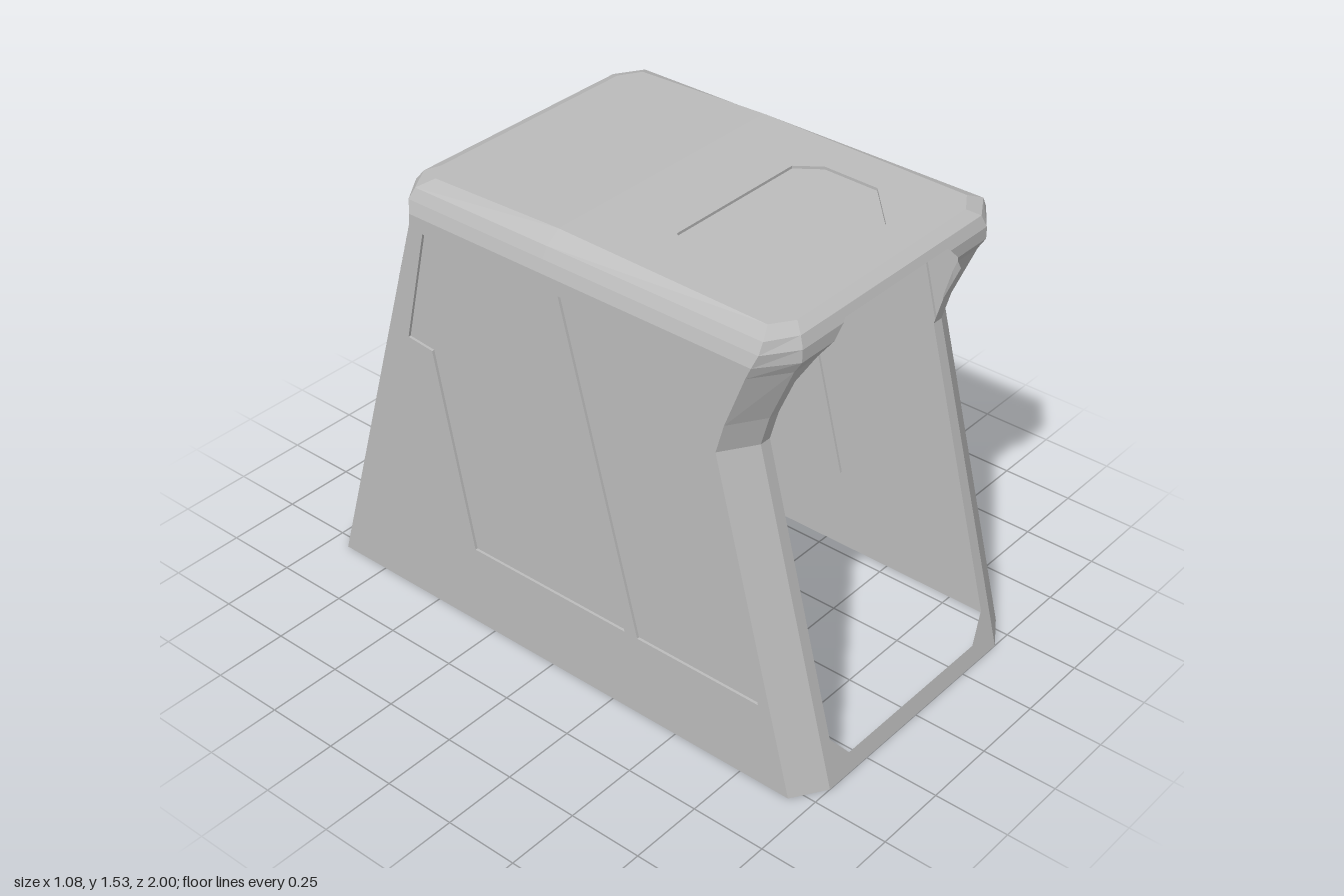
import * as THREE from 'three';

const gray = new THREE.MeshStandardMaterial({ color: 0xbbbbbb, side: THREE.DoubleSide });
gray.name = 'cabin gray';

// Flat-shaded mesh from quads of corner vectors
function quadMesh(name, quads) {
  const p = [];
  for (const [a, b, c, d] of quads) for (const v of [a, b, c, a, c, d]) p.push(...v);
  const g = new THREE.BufferGeometry();
  g.setAttribute('position', new THREE.Float32BufferAttribute(p, 3));
  g.computeVertexNormals();
  const m = new THREE.Mesh(g, gray);
  m.name = name;
  return m;
}

const toV2 = pts => pts.map(([u, v]) => new THREE.Vector2(u, v));

// Flat face from a 2D outline, placed in space by map(u, v)
function faceMesh(name, outline, holes, map) {
  const shape = new THREE.Shape(toV2(outline));
  for (const h of holes) shape.holes.push(new THREE.Path(toV2(h)));
  const g = new THREE.ShapeGeometry(shape).toNonIndexed();
  const pos = g.attributes.position;
  for (let i = 0; i < pos.count; i++) pos.setXYZ(i, ...map(pos.getX(i), pos.getY(i)));
  g.computeVertexNormals();
  const m = new THREE.Mesh(g, gray);
  m.name = name;
  return m;
}

// Wall with shallow recessed panes; inward is the recess direction
function recessedWall(name, outline, panes, map, inward) {
  const group = new THREE.Group();
  group.name = name;
  const deep = (u, v) => map(u, v).map((c, i) => c + inward[i] * 0.009);
  group.add(faceMesh(name + 'Skin', outline, panes, map));
  for (const pane of panes) {
    group.add(faceMesh(name + 'Pane', pane, [], deep));
    group.add(quadMesh(name + 'Rim', pane.map((a, i) => {
      const b = pane[(i + 1) % pane.length];
      return [map(...a), map(...b), deep(...b), deep(...a)];
    })));
  }
  return group;
}

// Horizontal sections: y, half width, front z, back z, corner x, front corner z, back corner z
const sections = [
  [0, 0.54, 1, -1, 0.11, 0.07, 0.07],
  [1.1, 0.54, 0.71, -0.677, 0.11, 0.07, 0.07],
  [1.2, 0.54, 0.738, -0.648, 0.11, 0.07, 0.07],
  [1.38, 0.54, 0.815, -0.595, 0.11, 0.078, 0.07],
  [1.42, 0.54, 0.84, -0.605, 0.11, 0.085, 0.085],
  [1.46, 0.528, 0.84, -0.602, 0.1, 0.07, 0.07],
  [1.495, 0.51, 0.825, -0.575, 0.09, 0.055, 0.055],
  [1.515, 0.46, 0.79, -0.53, 0.07, 0.045, 0.045],
];
const LIP = 3, EAVE = 4, TOP = sections.length - 1;
const roofY = z => 1.53 - (z > 0 ? 0.019 : 0.028) * Math.abs(z);

// Half ring from front to back on side s
const ring = (i, s) => {
  const [y, hx, zf, zb, cx, cf, cb] = sections[i];
  return [[hx - cx, zf], [hx, zf - cf], [hx, 0], [hx, zb + cb], [hx - cx, zb]]
    .map(([x, z]) => [s * x, i === TOP ? roofY(z) : y, z]);
};
const frontZ = y => {
  let i = 0;
  while (i < TOP - 1 && y > sections[i + 1][0]) i++;
  const a = sections[i], b = sections[i + 1];
  return THREE.MathUtils.lerp(a[2], b[2], (y - a[0]) / (b[0] - a[0]));
};

export function createModel() {
  const cabin = new THREE.Group();
  cabin.name = 'cabin';

  // Bevelled corner posts and rounded roof edge
  for (const s of [1, -1]) {
    const posts = [], edge = [];
    for (let i = 0; i < TOP; i++) {
      const lo = ring(i, s), hi = ring(i + 1, s);
      for (let j = 0; j < 4; j++) {
        const q = [lo[j], lo[j + 1], hi[j + 1], hi[j]];
        if (s < 0) q.reverse();
        if (i >= EAVE) edge.push(q);
        else if (j === 0 || j === 3) posts.push(q);
      }
    }
    const side = s > 0 ? 'left' : 'right';
    cabin.add(quadMesh(side + 'CornerPosts', posts), quadMesh(side + 'RoofEdge', edge));
  }
  const rearLip = [], frontLip = [];
  for (let i = LIP; i < TOP; i++) {
    const L = ring(i, 1), R = ring(i, -1), L2 = ring(i + 1, 1), R2 = ring(i + 1, -1);
    rearLip.push([L[4], R[4], R2[4], L2[4]]);
    if (i === TOP - 1) frontLip.push([R[0], L[0], L2[0], R2[0]]);
  }
  cabin.add(quadMesh('rearRoofLip', rearLip), quadMesh('frontRoofLip', frontLip));

  // Front frame around the open doorway: height, opening half width
  const door = [[0.06, 0.32], [0.145, 0.39], [1.1, 0.39], [1.2, 0.39], [1.32, 0.39],
    [1.38, 0.33], [1.42, 0.29], [1.46, 0.25], [1.47, 0.24]];
  const outerX = y => {
    if (y <= 1.46) return 0.43;
    return THREE.MathUtils.lerp(0.428, 0.42, (y - 1.46) / 0.035);
  };
  const pt = (x, y) => [x, y, frontZ(y)];
  const frame = [[0, 0.06], [1.47, 1.495]].map(([a, b]) =>
    [pt(-outerX(a), a), pt(outerX(a), a), pt(outerX(b), b), pt(-outerX(b), b)]);
  for (let i = 0; i < door.length - 1; i++) {
    const [a, wa] = door[i], [b, wb] = door[i + 1];
    frame.push([pt(wa, a), pt(outerX(a), a), pt(outerX(b), b), pt(wb, b)]);
    frame.push([pt(-outerX(a), a), pt(-wa, a), pt(-wb, b), pt(-outerX(b), b)]);
  }
  cabin.add(quadMesh('frontFrame', frame));

  // Side walls with two panes each, points as z, y
  const sideOutline = [[0.93, 0], [0.64, 1.1], [0.668, 1.2], [0.737, 1.38], [0.755, 1.42],
    [-0.52, 1.42], [-0.525, 1.38], [-0.93, 0]];
  const sidePanes = [
    [[0.81, 0.29], [0.53, 1.37], [0.065, 1.37], [0.35, 0.29]],
    [[0.3, 0.29], [0.015, 1.37], [-0.47, 1.37], [-0.56, 0.98], [-0.46, 0.97], [-0.32, 0.29]],
  ];
  for (const s of [1, -1]) {
    const flip = pts => pts.map(([z, y]) => [-s * z, y]);
    cabin.add(recessedWall(s > 0 ? 'leftWall' : 'rightWall', flip(sideOutline),
      sidePanes.map(flip), (u, v) => [s * 0.54, v, -s * u], [-s, 0, 0]));
  }

  // Sloping rear wall with a window
  cabin.add(recessedWall('rearWall', [[-0.43, 0], [0.43, 0], [0.43, 1.38], [-0.43, 1.38]],
    [[[-0.32, 0.975], [0.32, 0.975], [0.39, 1.09], [0.39, 1.33], [0.36, 1.37],
      [-0.36, 1.37], [-0.39, 1.33], [-0.39, 1.09]]],
    (u, v) => [-u, v, -1 + (0.405 / 1.38) * v], [0, -0.28, 0.96]));

  // Crowned roof in two halves, hatch in the front half
  const hatch = [[-0.17, 0.67], [0.17, 0.67], [0.32, 0.53], [0.32, 0.34], [0.26, 0.265],
    [-0.26, 0.265], [-0.32, 0.34], [-0.32, 0.53]].map(([x, z]) => [x, -z]);
  const half = ids => [...ids.map(j => ring(TOP, 1)[j]), ...ids.map(j => ring(TOP, -1)[j]).reverse()]
    .map(([x, , z]) => [x, -z]);
  const roofMap = (u, v) => [u, roofY(-v), -v];
  cabin.add(recessedWall('frontRoof', half([0, 1, 2]), [hatch], roofMap, [0, -1, 0]));
  cabin.add(faceMesh('rearRoof', half([2, 3, 4]), [], roofMap));
  return cabin;
}
